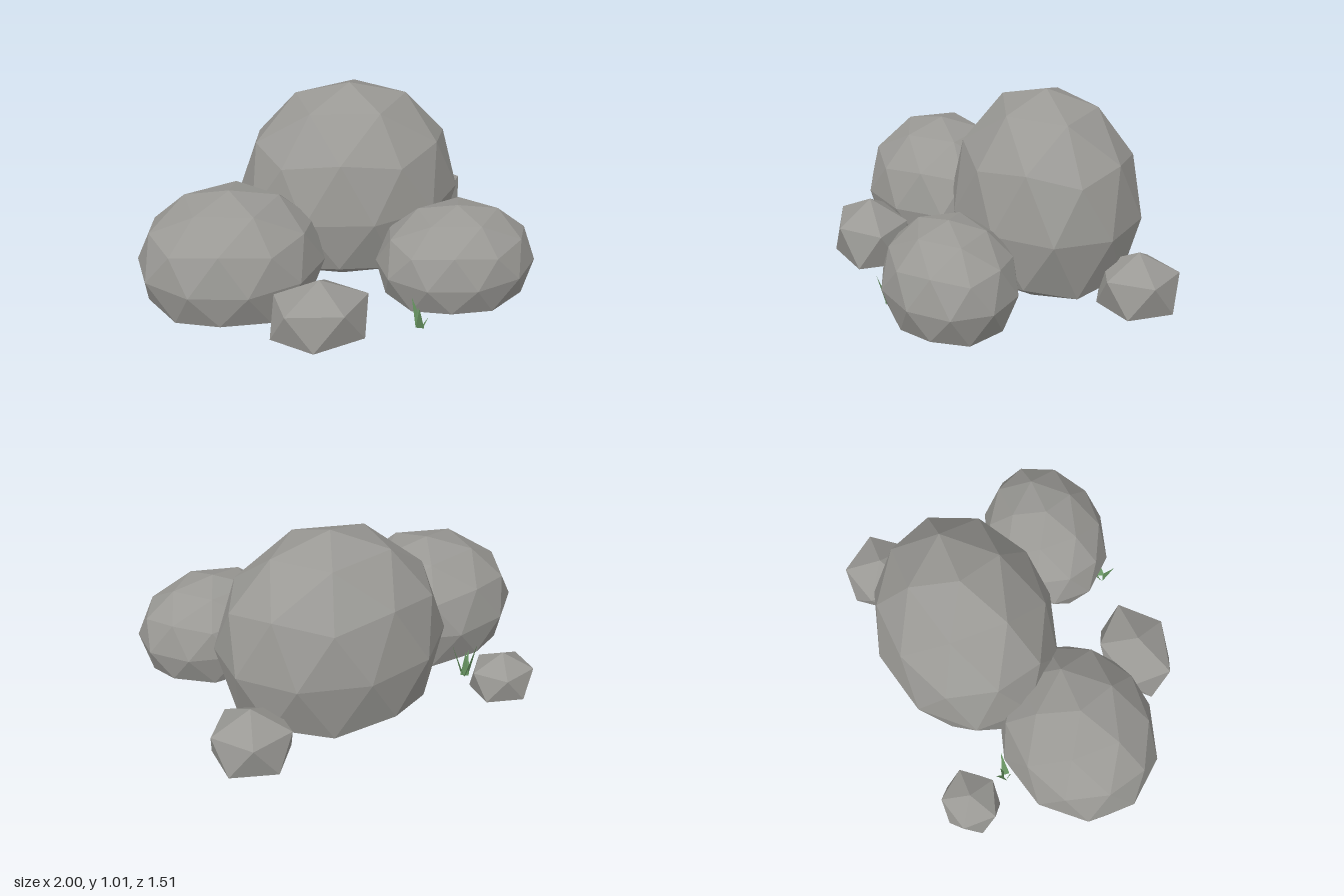
import * as THREE from 'three';

const stone = new THREE.MeshStandardMaterial({ color: 0x9a9995 });
stone.name = 'stone grey';
const leaf = new THREE.MeshStandardMaterial({ color: 0x6c9a66, side: THREE.DoubleSide });
leaf.name = 'grass green';

// Faceted rock: icosahedron standing on its pole, stretched, with the underside flattened at y = 0
function rock(name, detail, [x, y, z], [rx, ry, rz]) {
  const geo = new THREE.IcosahedronGeometry(1, detail);
  geo.rotateZ(-Math.atan(2 / (1 + Math.sqrt(5))));
  geo.scale(rx, ry, rz);
  geo.translate(x, y, z);
  const pos = geo.attributes.position;
  for (let i = 0; i < pos.count; i++) pos.setY(i, Math.max(0, pos.getY(i)));
  geo.computeVertexNormals(); // unshared corners give flat facets
  const mesh = new THREE.Mesh(geo, stone);
  mesh.name = name;
  return mesh;
}

// Tuft of pointed blades fanning out from one base; each tip is [x, y, z]
function tuft(name, [bx, bz], tips) {
  const points = [];
  for (const [tx, ty, tz] of tips) {
    const dir = new THREE.Vector2(tx - bx, tz - bz).normalize();
    const w = 0.022;
    const rootX = bx + dir.x * 0.012, rootZ = bz + dir.y * 0.012;
    points.push(
      rootX - dir.y * w, 0, rootZ + dir.x * w,
      rootX + dir.y * w, 0, rootZ - dir.x * w,
      tx, ty, tz
    );
  }
  const geo = new THREE.BufferGeometry();
  geo.setAttribute('position', new THREE.Float32BufferAttribute(points, 3));
  geo.computeVertexNormals();
  const mesh = new THREE.Mesh(geo, leaf);
  mesh.name = name;
  return mesh;
}

export function createModel() {
  const model = new THREE.Group();
  model.name = 'rockCluster';
  model.add(
    // Large boulders
    rock('mainBoulder', 1, [0.2, 0.4, -0.27], [0.6, 0.61, 0.485]),
    rock('rightBoulder', 1, [-0.53, 0.25, 0.085], [0.49, 0.395, 0.415]),
    rock('leftBoulder', 1, [0.6, 0.22, 0.35], [0.42, 0.32, 0.335]),
    // Small stones
    rock('frontStone', 0, [-0.19, 0.14, 0.57], [0.283, 0.21, 0.212]),
    rock('backLeftStone', 0, [0.755, 0.125, -0.57], [0.23, 0.19, 0.225]),
    rock('backRightStone', 0, [-0.643, 0.1, -0.565], [0.188, 0.15, 0.17]),
    // Grass
    tuft('frontGrass', [0.335, 0.59], [
      [0.3, 0.18, 0.53], [0.305, 0.15, 0.65], [0.37, 0.06, 0.605], [0.33, 0.1, 0.56],
    ]),
    tuft('backGrass', [-0.56, -0.335], [
      [-0.59, 0.22, -0.4], [-0.48, 0.2, -0.33], [-0.585, 0.14, -0.32], [-0.545, 0.16, -0.36],
    ])
  );
  return model;
}
